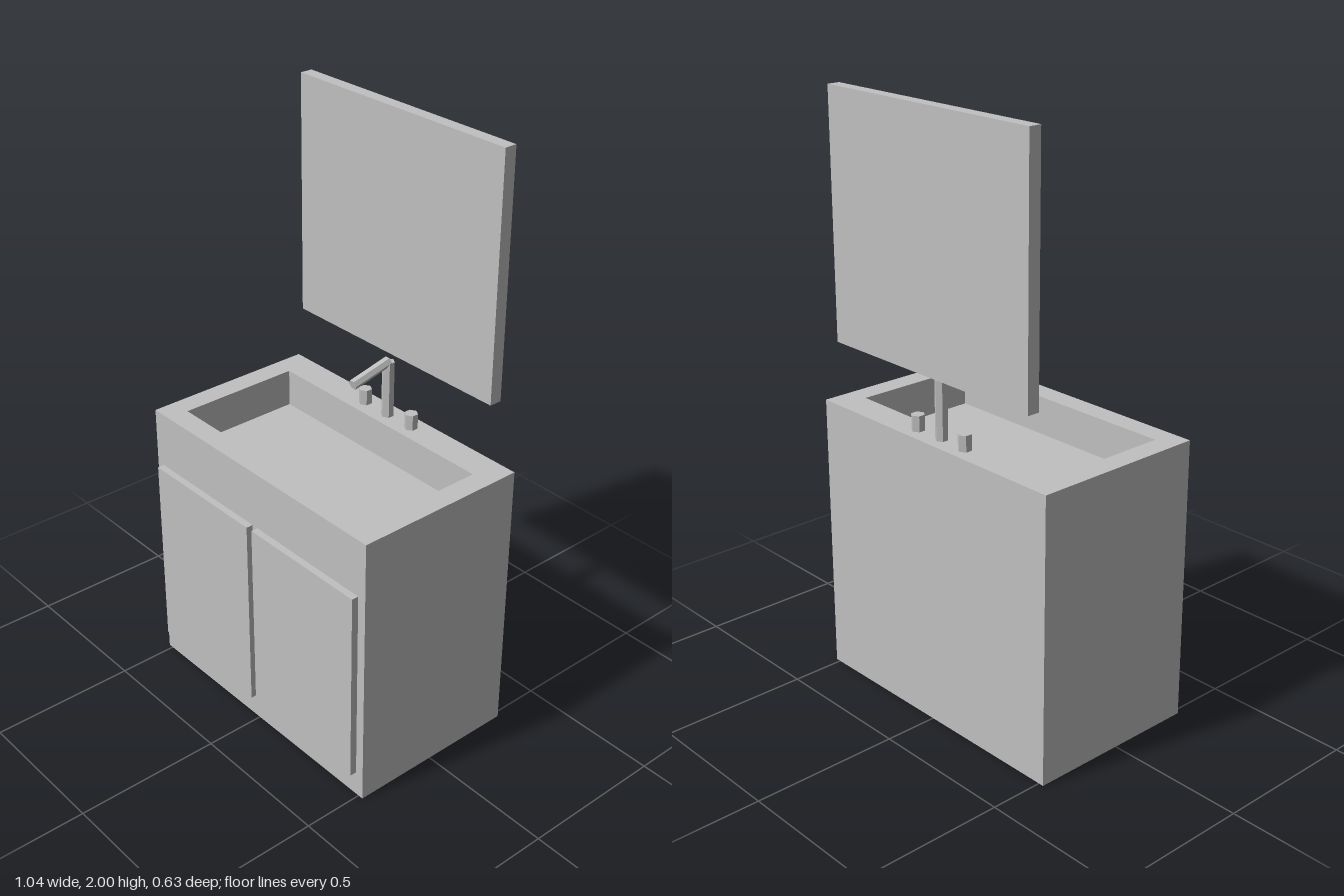
import * as THREE from 'three';

export function createModel() {
  const model = new THREE.Group();
  model.name = 'washstand';
  const grey = new THREE.MeshStandardMaterial({ color: 0xc0c0c0, flatShading: true });
  grey.name = 'plain grey';

  const add = (name, geometry, x, y, z) => {
    const mesh = new THREE.Mesh(geometry, grey);
    mesh.name = name;
    mesh.position.set(x, y, z);
    model.add(mesh);
    return mesh;
  };
  // Box given by its limits on each axis
  const box = (name, [x0, x1], [y0, y1], [z0, z1]) =>
    add(name, new THREE.BoxGeometry(x1 - x0, y1 - y0, z1 - z0),
      (x0 + x1) / 2, (y0 + y1) / 2, (z0 + z1) / 2);
  // Counter-clockwise rectangle outline
  const rectangle = (x0, x1, y0, y1) => [[x0, y0], [x1, y0], [x1, y1], [x0, y1]]
    .map(([x, y]) => new THREE.Vector2(x, y));

  const top = 0.965, basinFloor = 0.835, halfWidth = 0.518, back = -0.318, front = 0.293;

  // Cabinet body; its top face is the floor of the basin
  box('cabinet', [-halfWidth, halfWidth], [0, basinFloor], [back, front]);

  // Basin walls: a rectangular ring around the sunken basin
  const ring = new THREE.Shape(rectangle(-halfWidth, halfWidth, -front, -back));
  ring.holes.push(new THREE.Path(rectangle(-0.443, 0.443, -0.218, 0.213).reverse()));
  const walls = new THREE.ExtrudeGeometry(ring, { depth: top - basinFloor, bevelEnabled: false });
  walls.rotateX(-Math.PI / 2);
  add('basinWalls', walls, 0, basinFloor, 0);

  // Doors and tap handles, mirrored left and right
  for (const [side, s] of [['left', 1], ['right', -1]]) {
    const xs = [s * 0.012, s * 0.487].sort((a, b) => a - b);
    box(side + 'Door', xs, [0.088, 0.768], [front, 0.317]);
    add(side + 'TapHandle', new THREE.CylinderGeometry(0.0225, 0.0225, 0.053, 6),
      s * 0.11, top + 0.0265, -0.265);
  }

  // Tap: upright post and sloping hexagonal spout
  add('tapPost', new THREE.CylinderGeometry(0.021, 0.021, 0.197, 6), 0, top + 0.0985, -0.263);
  const start = new THREE.Vector3(0, 1.163, -0.262);
  const end = new THREE.Vector3(0, 1.129, -0.111);
  const along = end.clone().sub(start);
  const spout = add('tapSpout',
    new THREE.CylinderGeometry(0.0175, 0.0175, along.length(), 6).rotateY(Math.PI / 2),
    0, (start.y + end.y) / 2, (start.z + end.z) / 2);
  spout.quaternion.setFromUnitVectors(new THREE.Vector3(0, 1, 0), along.normalize());

  // Mirror panel above the basin
  box('mirror', [-0.442, 0.442], [1.183, 2], [back, -0.275]);

  return model;
}
